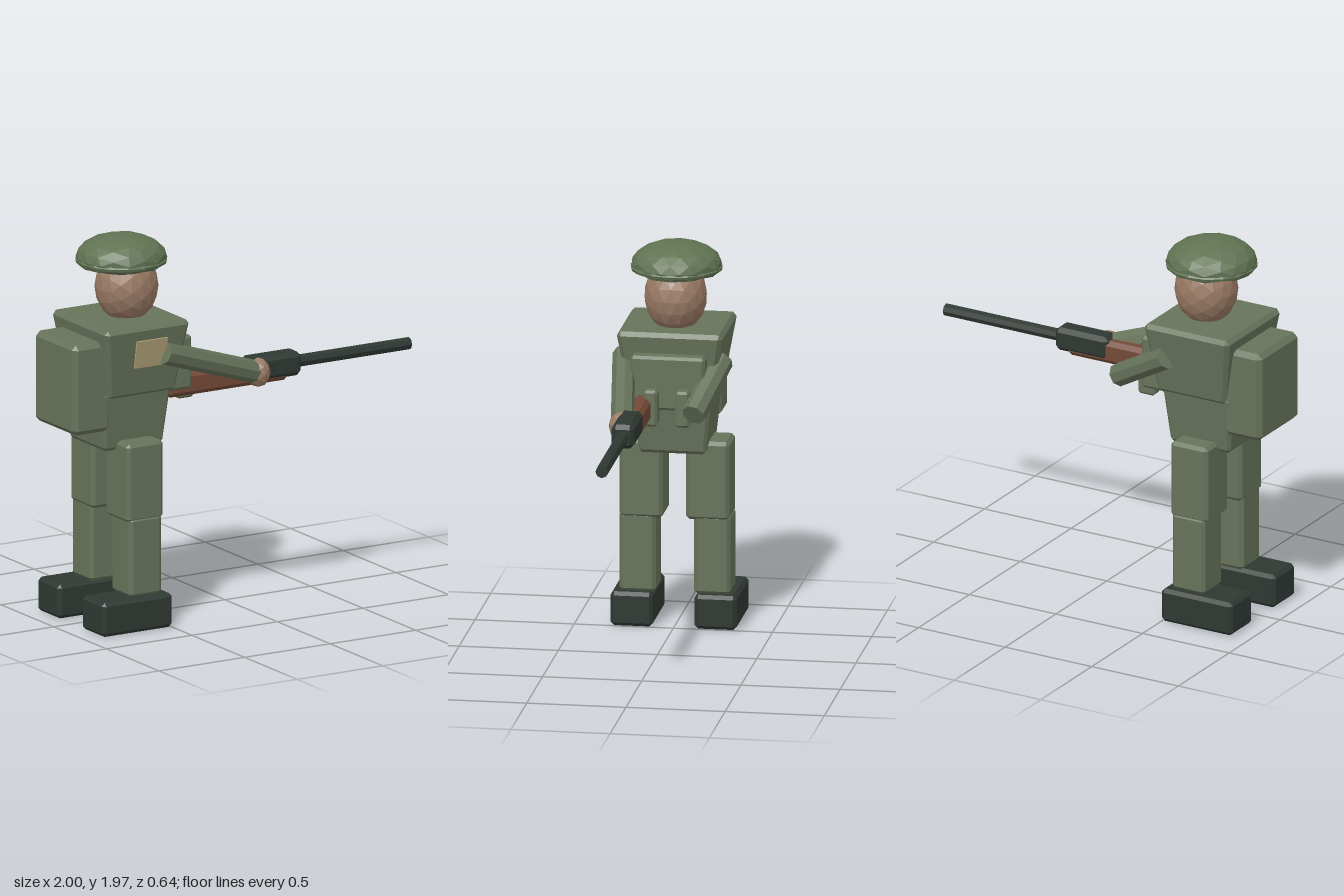
import * as THREE from 'three';
import { ConvexGeometry } from 'three/addons/geometries/ConvexGeometry.js';

const paint = (name, color) => {
  const m = new THREE.MeshStandardMaterial({ color });
  m.name = name;
  m.flatShading = true;
  return m;
};

export function createModel() {
  const green = paint('uniform green', 0x67735a);
  const capGreen = paint('cap green', 0x617353);
  const dark = paint('dark gunmetal', 0x2f3833);
  const wood = paint('wood brown', 0x744a38);
  const skin = paint('skin', 0x9a7a64);
  const tan = paint('patch tan', 0xb0a078);

  const model = new THREE.Group();
  model.name = 'soldier';
  const add = (name, geometry, material, parent = model) => {
    const mesh = new THREE.Mesh(geometry, material);
    mesh.name = name;
    parent.add(mesh);
    return mesh;
  };

  // Chamfered box between two corners; sx and sz scale its bottom end
  const block = (name, [x0, y0, z0], [x1, y1, z1], material, bevel = 0.018, sx = 1, sz = 1, parent = model) => {
    const cx = (x0 + x1) / 2, cz = (z0 + z1) / 2;
    const hx = (x1 - x0) / 2, hy = (y1 - y0) / 2, hz = (z1 - z0) / 2;
    const points = [];
    for (const i of [-1, 1]) for (const j of [-1, 1]) for (const k of [-1, 1]) {
      for (let axis = 0; axis < 3; axis++) {
        const inset = [0, 1, 2].map(a => (a === axis ? 0 : bevel));
        const y = j * (hy - inset[1]);
        const t = (y / hy + 1) / 2;
        points.push(new THREE.Vector3(
          cx + i * (hx - inset[0]) * (sx + (1 - sx) * t),
          (y0 + y1) / 2 + y,
          cz + k * (hz - inset[2]) * (sz + (1 - sz) * t)));
      }
    }
    return add(name, new ConvexGeometry(points), material, parent);
  };

  // Straight tube between two points
  const rod = (name, from, to, radius, sides, material, parent = model) => {
    const a = new THREE.Vector3(...from), b = new THREE.Vector3(...to);
    const dir = b.clone().sub(a);
    const mesh = add(name, new THREE.CylinderGeometry(radius, radius, dir.length(), sides), material, parent);
    mesh.position.copy(a).add(b).multiplyScalar(0.5);
    mesh.quaternion.setFromUnitVectors(new THREE.Vector3(0, 1, 0), dir.normalize());
    return mesh;
  };

  // Legs and boots
  for (const s of [-1, 1]) {
    const leg = new THREE.Group();
    leg.name = s > 0 ? 'rightLeg' : 'leftLeg';
    model.add(leg);
    const part = (name, x0, x1, y0, y1, zIn, zOut, material) =>
      block(name, [x0, y0, Math.min(s * zIn, s * zOut)], [x1, y1, Math.max(s * zIn, s * zOut)],
        material, 0.018, 1, 1, leg);
    part('boot', -0.905, -0.495, 0, 0.175, 0.105, 0.318, dark);
    part('shin', -0.725, -0.535, 0.17, 0.58, 0.095, 0.28, green);
    part('thigh', -0.738, -0.525, 0.555, 0.96, 0.058, 0.277, green);
  }

  // Torso and gear
  block('waist', [-0.838, 0.91, -0.2], [-0.43, 1.22, 0.2], green, 0.018, 0.84, 0.84);
  block('chest', [-0.857, 1.18, -0.27], [-0.36, 1.555, 0.27], green, 0.022, 0.78, 0.76);
  block('backpack', [-1, 1.02, -0.195], [-0.78, 1.485, 0.195], green, 0.025);
  block('chestRig', [-0.45, 1.175, -0.188], [-0.305, 1.45, 0.188], green, 0.014);
  for (const z of [-0.083, 0.077]) {
    block('pouch', [-0.34, 1.105, z - 0.035], [-0.245, 1.29, z + 0.035], green, 0.012);
  }
  const patch = add('sidePatch', new THREE.BoxGeometry(0.18, 0.145, 0.008), tan);
  patch.position.set(-0.585, 1.41, 0.249);
  patch.rotation.x = 0.171;

  // Head
  const head = add('head', new THREE.IcosahedronGeometry(1, 2), skin);
  head.scale.set(0.16, 0.185, 0.158);
  head.position.set(-0.575, 1.7, 0);

  // Cap: faceted dome over a rolled rim
  const cap = new THREE.Group();
  cap.name = 'cap';
  cap.position.set(-0.605, 1.855, 0);
  model.add(cap);
  const dome = add('capDome', new THREE.IcosahedronGeometry(1, 2), capGreen, cap);
  dome.scale.set(0.228, 0.116, 0.228);
  const domePos = dome.geometry.attributes.position;
  for (let i = 0; i < domePos.count; i++) domePos.setY(i, Math.max(domePos.getY(i), -0.35));
  dome.geometry.computeVertexNormals();
  const rim = [[0, -0.065], [0.14, -0.06], [0.228, -0.025], [0.232, -0.012], [0.215, 0.008], [0, 0.012]];
  add('capRim', new THREE.LatheGeometry(rim.map(p => new THREE.Vector2(...p)), 16), capGreen, cap);

  // Arms and hand
  rod('rightArm', [-0.51, 1.4, 0.25], [0.08, 1.2, 0.165], 0.058, 8, green);
  rod('leftArm', [-0.49, 1.395, -0.245], [-0.16, 1.2, -0.155], 0.06, 8, green);
  const hand = add('hand', new THREE.IcosahedronGeometry(0.07, 1), skin);
  hand.position.set(0.093, 1.197, 0.165);
  hand.scale.set(0.85, 1.08, 0.95);

  // Rifle
  const rifle = new THREE.Group();
  rifle.name = 'rifle';
  model.add(rifle);
  block('stock', [-0.44, 1.13, 0.075], [0.29, 1.25, 0.165], wood, 0.022, 0.97, 1, rifle);
  block('receiver', [0.04, 1.148, 0.065], [0.345, 1.27, 0.18], dark, 0.022, 1, 1, rifle);
  rod('barrel', [0.3, 1.21, 0.122], [1, 1.21, 0.122], 0.032, 8, dark, rifle);

  return model;
}
